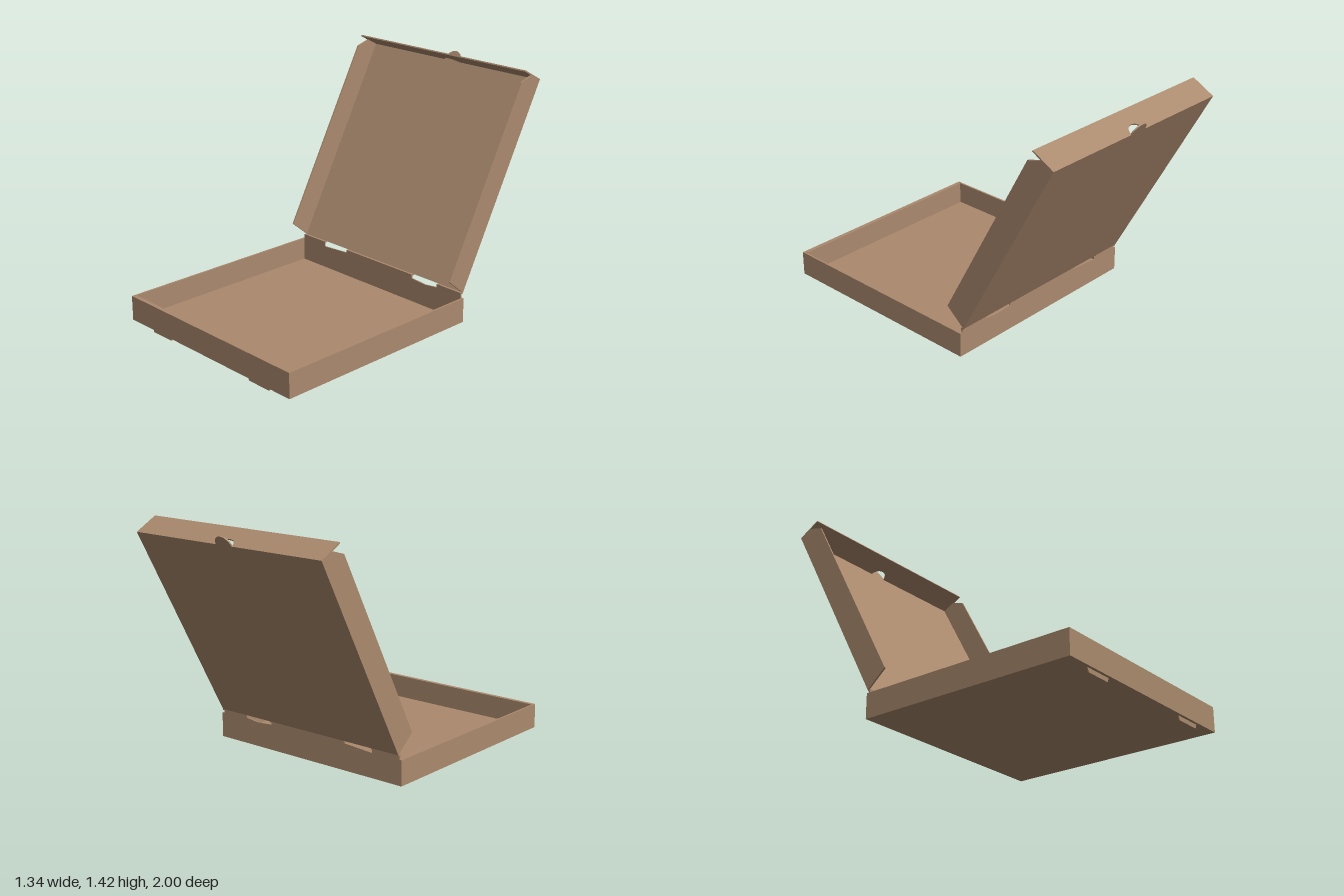
import * as THREE from 'three';

const T = 0.008; // cardboard thickness
const card = new THREE.MeshStandardMaterial({ color: 0xab8a6e, flatShading: true, side: THREE.DoubleSide });

const outline = (pts) => new THREE.Shape(pts.map(([x, y]) => new THREE.Vector2(x, y)));
const sheet = (shape, depth = T) => new THREE.ExtrudeGeometry(shape, { depth, bevelEnabled: false, curveSegments: 16 });

function add(parent, name, geometry, x = 0, y = 0, z = 0) {
  const mesh = new THREE.Mesh(geometry, card);
  mesh.name = name;
  mesh.position.set(x, y, z);
  parent.add(mesh);
  return mesh;
}

function addBox(parent, name, x0, x1, y0, y1, z0, z1) {
  return add(parent, name, new THREE.BoxGeometry(x1 - x0, y1 - y0, z1 - z0),
    (x0 + x1) / 2, (y0 + y1) / 2, (z0 + z1) / 2);
}

function createTray() {
  const tray = new THREE.Group();
  tray.name = 'tray';
  const W = 0.672, y0 = 0.025, y1 = 0.173, back = -0.34, front = 1;

  addBox(tray, 'trayFloor', -W, W, y0, y0 + T, back, front);
  // front wall is folded over double, with a narrow gap closed by the top fold
  addBox(tray, 'frontWallOuter', -W, W, y0, y1, front - T, front);
  addBox(tray, 'frontWallInner', -W + 0.014, W - 0.014, y0, y1, front - 0.025, front - 0.025 + T);
  addBox(tray, 'frontWallFold', -W + 0.014, W - 0.014, y1 - T, y1, front - 0.025, front);

  for (const s of [-1, 1]) {
    addBox(tray, s > 0 ? 'leftWall' : 'rightWall', s * W - (s > 0 ? 0.012 : 0), s * W + (s > 0 ? 0 : 0.012),
      y0, y1, back, front);
    // locking tab poking through the floor
    const tab = outline([[-0.09, y0 + T], [0.09, y0 + T], [0.09, y0], [0.08, 0], [-0.08, 0], [-0.09, y0]]);
    add(tray, s > 0 ? 'leftLockTab' : 'rightLockTab', sheet(tab), s * 0.415, 0, front - 0.025);
  }

  // back wall, rising to the hinge with two open notches
  const h = 0.198, e = 0.656;
  const backWall = outline([[-W, y0], [W, y0], [W, y1], [e, y1], [e, h],
    [0.47, h], [0.47, 0.18], [0.38, 0.17], [0.275, 0.178], [0.275, h],
    [-0.275, h], [-0.275, 0.183], [-0.47, 0.17], [-0.47, h], [-e, h], [-e, y1], [-W, y1]]);
  add(tray, 'backWall', sheet(backWall), 0, 0, back);
  // crease joining the back wall to the lid
  for (const [a, b] of [[-e, -0.47], [-0.275, 0.275], [0.47, e]]) {
    addBox(tray, 'hingeStrip', a, b, h - 0.004, h + 0.004, back - 0.01, back + T);
  }
  return tray;
}

// Lid is built upright: y runs along the panel, z is the depth of its walls
function createLid() {
  const lid = new THREE.Group();
  lid.name = 'lid';
  const W = 0.657, L = 1.302, D = 0.153, R = 0.055;

  // main panel with the rounded pull tab
  const panel = new THREE.Shape();
  panel.moveTo(-W, 0);
  panel.lineTo(W, 0);
  panel.lineTo(W, L);
  panel.lineTo(R, L);
  panel.absarc(0, L, R, 0, Math.PI, false);
  panel.lineTo(-W, L);
  panel.closePath();
  add(lid, 'lidPanel', sheet(panel));

  // front flap with the half-round cut left by the pull tab
  const flap = new THREE.Shape();
  flap.moveTo(-W, 0);
  flap.lineTo(-R, 0);
  flap.absarc(0, 0, R, Math.PI, 0, true);
  flap.lineTo(W, 0);
  flap.lineTo(W, D);
  flap.lineTo(-W, D);
  flap.closePath();
  add(lid, 'lidFrontFlap', sheet(flap).rotateX(Math.PI / 2), 0, L, 0);

  // side walls with angled ends
  const side = sheet(outline([[0, 0], [D, 0.031], [D, 1.23], [0.08, L], [0, L]]), 0.01).rotateY(-Math.PI / 2);
  add(lid, 'lidLeftWall', side, W, 0, 0);
  add(lid, 'lidRightWall', side, -W + 0.01, 0, 0);

  lid.position.set(0, 0.2, -0.35);
  lid.rotation.x = -Math.atan2(0.62, 1.145);
  return lid;
}

export function createModel() {
  const box = new THREE.Group();
  box.name = 'cardboardBox';
  box.add(createTray(), createLid());
  return box;
}
